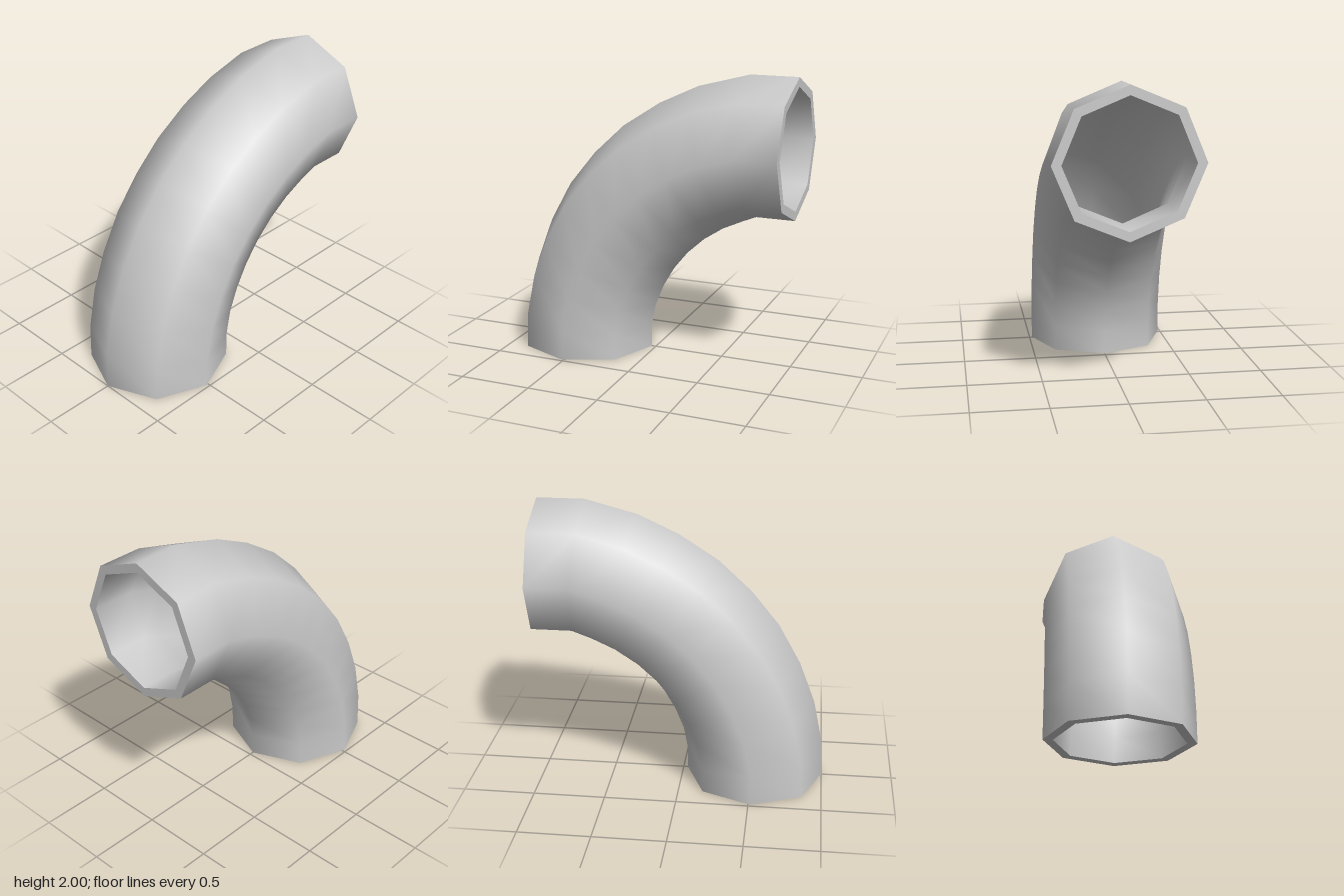
import * as THREE from 'three';

const SIDES = 8;
const BORE = 0.868; // inner radius relative to outer

// Outer and inner bend edges of each cross-section: [xOuter, yOuter, xInner, yInner]
const SECTIONS = [
  [-1.0, 0.0, -0.03, 0.0],
  [-0.99, 0.27, -0.03, 0.16],
  [-0.925, 0.58, 0.0, 0.32],
  [-0.815, 0.87, 0.06, 0.47],
  [-0.66, 1.15, 0.14, 0.61],
  [-0.465, 1.39, 0.24, 0.735],
  [-0.24, 1.6, 0.36, 0.845],
  [0.03, 1.775, 0.495, 0.935],
  [0.31, 1.905, 0.635, 1.0],
  [0.67, 2.0, 0.73, 1.04],
  [1.0, 2.0, 1.0, 1.04],
];

// Octagonal ring standing across the bend, one corner on the outer edge
function ring([xo, yo, xi, yi], scale) {
  const ux = (xo - xi) / 2, uy = (yo - yi) / 2;
  const r = 0.482 * scale;
  return Array.from({ length: SIDES }, (_, j) => {
    const a = (j / SIDES) * Math.PI * 2;
    const c = Math.cos(a) * scale;
    return [(xo + xi) / 2 + ux * c, (yo + yi) / 2 + uy * c, r * Math.sin(a)];
  });
}

// Skin a list of rings with shared vertices, so it shades smoothly
function loft(name, rings, material) {
  const index = [];
  for (let i = 0; i < rings.length - 1; i++) {
    for (let j = 0; j < SIDES; j++) {
      const k = (j + 1) % SIDES;
      const a = i * SIDES + j, b = i * SIDES + k;
      const c = a + SIDES, d = b + SIDES;
      index.push(a, b, c, b, d, c);
    }
  }
  const geometry = new THREE.BufferGeometry();
  geometry.setAttribute('position', new THREE.Float32BufferAttribute(rings.flat(2), 3));
  geometry.setIndex(index);
  geometry.computeVertexNormals();
  const mesh = new THREE.Mesh(geometry, material);
  mesh.name = name;
  return mesh;
}

export function createModel() {
  const group = new THREE.Group();
  group.name = 'pipeElbow';
  const material = new THREE.MeshStandardMaterial({ color: 0xcccccc });

  const outer = SECTIONS.map((s) => ring(s, 1));
  const inner = SECTIONS.map((s) => ring(s, BORE));
  const last = SECTIONS.length - 1;

  group.add(
    loft('outerWall', outer, material),
    loft('innerWall', [...inner].reverse(), material),
    // flat rims closing the wall thickness at both openings
    loft('bottomRim', [inner[0], outer[0]], material),
    loft('sideRim', [outer[last], inner[last]], material),
  );
  return group;
}
